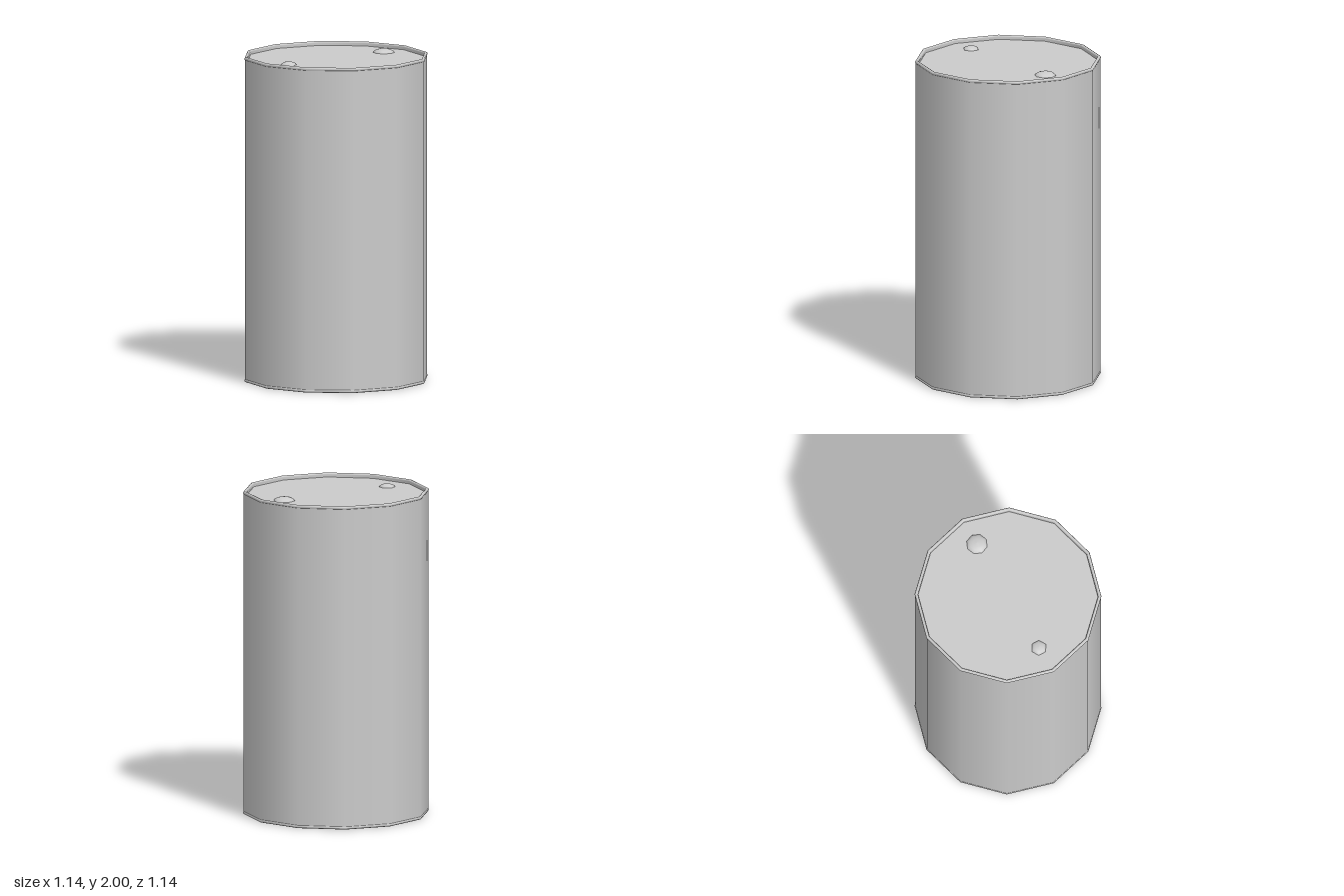
import * as THREE from 'three';

const SIDES = 12;
const HEIGHT = 2;
const BODY_R = 0.565;   // drum wall
const RIM_R = 0.558;    // centre line of the rolled rim
const TUBE = 0.0105;    // thickness of the rolled rim
const RECESS = 0.026;   // depth of the end plates below the rims

export function createModel() {
  const group = new THREE.Group();
  const material = new THREE.MeshStandardMaterial({ color: 0xcccccc });

  const add = (name, geometry, x = 0, y = 0, parent = group) => {
    const mesh = new THREE.Mesh(geometry, material);
    mesh.name = name;
    mesh.position.set(x, y, 0);
    parent.add(mesh);
    return mesh;
  };

  // Drum wall, open at both ends
  add('drumWall', new THREE.CylinderGeometry(BODY_R, BODY_R, HEIGHT - 2 * TUBE, SIDES, 1, true), 0, HEIGHT / 2);

  // One end: rolled rim, inner lip and recessed plate, facing up from y = 0
  const makeEnd = (name) => {
    const end = new THREE.Group();
    end.name = name;
    const rim = new THREE.TorusGeometry(RIM_R, TUBE, 8, SIDES).rotateX(-Math.PI / 2);
    add('rolledRim', rim, 0, -TUBE, end);
    const lipR = RIM_R - TUBE;
    const lip = new THREE.LatheGeometry([
      new THREE.Vector2(lipR, -TUBE),
      new THREE.Vector2(lipR, -RECESS),
    ], SIDES);
    add('innerLip', lip, 0, 0, end);
    const plate = new THREE.CircleGeometry(lipR, SIDES).rotateX(-Math.PI / 2);
    add('endPlate', plate, 0, -RECESS, end);
    group.add(end);
    return end;
  };

  const top = makeEnd('topEnd');
  top.position.y = HEIGHT;
  const bottom = makeEnd('bottomEnd');
  bottom.rotation.x = Math.PI;

  // Shallow domed plugs on the lid
  const plug = (name, x, radius, height, sides) => {
    const profile = [];
    for (let i = 0; i <= 4; i++) {
      const a = (i / 4) * Math.PI / 2;
      profile.push(new THREE.Vector2(radius * Math.cos(a), height * Math.sin(a)));
    }
    profile[4].x = 0;
    add(name, new THREE.LatheGeometry(profile, sides), x, HEIGHT - RECESS);
  };
  plug('largePlug', 0.387, 0.065, 0.025, 8);
  plug('smallPlug', -0.383, 0.049, 0.021, 6);

  return group;
}
